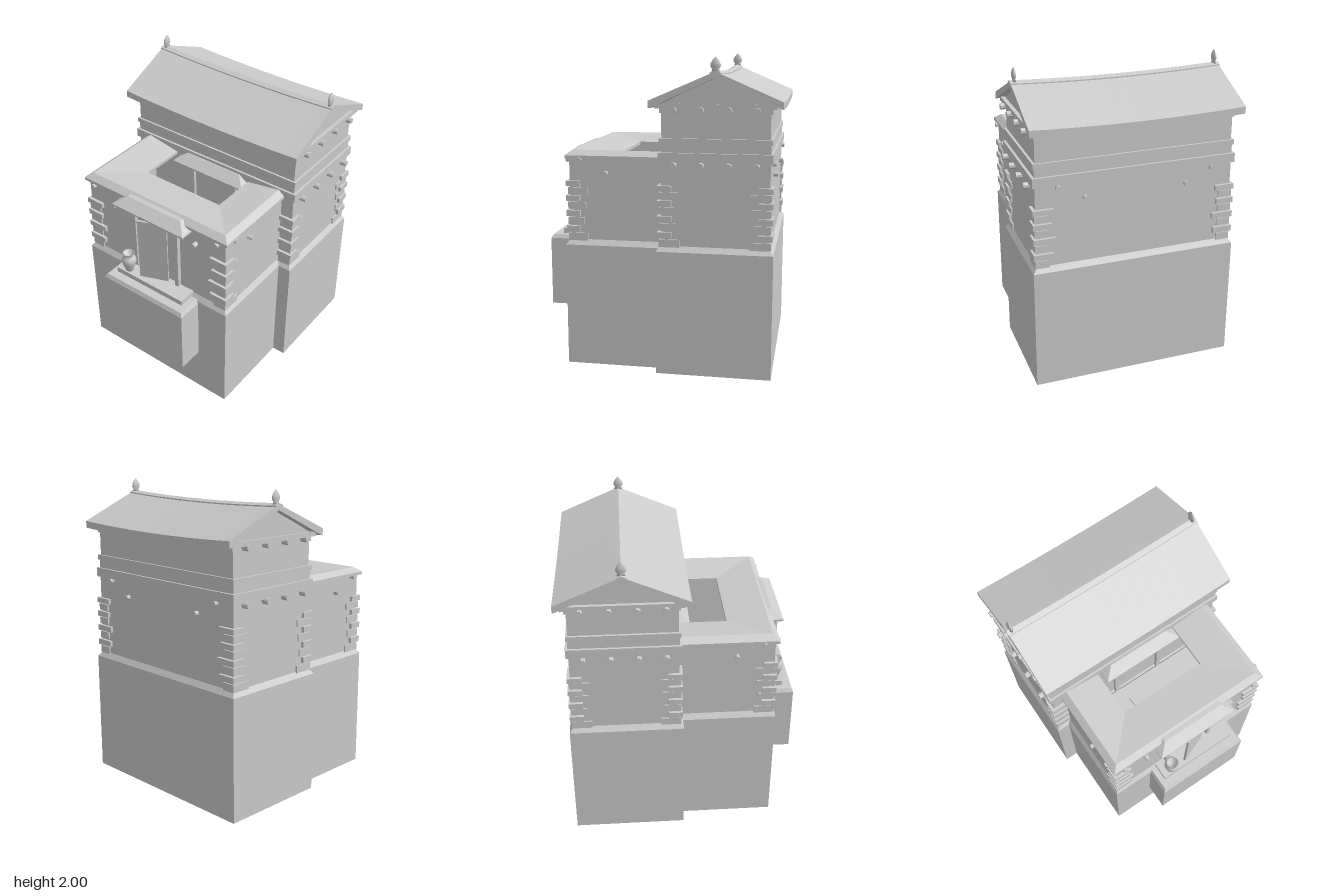
import * as THREE from 'three';

const mat = new THREE.MeshStandardMaterial({ color: 0xcccccc, flatShading: true, side: THREE.DoubleSide });
const smooth = new THREE.MeshStandardMaterial({ color: 0xcccccc, side: THREE.DoubleSide });

function add(parent, name, geo, material = mat) {
  const mesh = new THREE.Mesh(geo, material);
  mesh.name = name;
  parent.add(mesh);
  return mesh;
}

// Box given by its limits; the top can be drawn in, the underside left open
function block(parent, name, [x0, x1], [y0, y1], [z0, z1], inset = 0, open = false) {
  const geo = new THREE.BoxGeometry(x1 - x0, y1 - y0, z1 - z0);
  const p = geo.attributes.position;
  for (let i = 0; i < p.count; i++) {
    if (p.getY(i) <= 0) continue;
    p.setX(i, p.getX(i) - Math.sign(p.getX(i)) * inset);
    p.setZ(i, p.getZ(i) - Math.sign(p.getZ(i)) * inset);
  }
  if (open) geo.setIndex(Array.from(geo.index.array).filter((_, i) => i < 18 || i >= 24));
  geo.translate((x0 + x1) / 2, (y0 + y1) / 2, (z0 + z1) / 2);
  geo.computeVertexNormals();
  return add(parent, name, geo);
}

// Profile (z from the ridge, y) drawn out along x, sagging in the middle
const RIDGE_Z = -0.365;
function sagging(parent, name, profile, half, sag) {
  const shape = new THREE.Shape(profile.map(([u, v]) => new THREE.Vector2(u, v)));
  const geo = new THREE.ExtrudeGeometry(shape, { depth: half * 2, steps: 14, bevelEnabled: false });
  geo.rotateY(Math.PI / 2).translate(-half, 0, RIDGE_Z);
  const p = geo.attributes.position;
  for (let i = 0; i < p.count; i++) {
    const t = p.getX(i) / half;
    p.setY(i, p.getY(i) - sag * (1 - t * t));
  }
  geo.computeVertexNormals();
  return add(parent, name, geo);
}

// Alternating corner stones; sx, sz point outward from the corner
function quoins(parent, x, z, sx, sz) {
  const g = new THREE.Group();
  g.name = 'cornerStones';
  let y = 0.825;
  for (let i = 0; i < 8; i++) {
    const h = 0.053 - i * 0.001;
    const long = i % 2 === 1;
    const out = long ? 0.02 : 0.01;
    const lx = long ? 0.14 - (i % 3) * 0.012 : 0.09;
    const lz = long ? 0.09 : 0.13 - (i % 3) * 0.012;
    const stone = add(g, 'cornerStone', new THREE.BoxGeometry(lx, h * (long ? 0.75 : 0.92), lz));
    stone.position.set(x + sx * (out - lx / 2), y + h / 2, z + sz * (out - lz / 2));
    y += h;
  }
  parent.add(g);
}

// Round beam end; axis is 'x' or 'z'
function beamEnd(parent, name, axis, x, y, z, r, length) {
  const geo = new THREE.CylinderGeometry(r, r, length, 8);
  geo.rotateY(Math.PI / 8);
  if (axis === 'x') geo.rotateZ(Math.PI / 2);
  else geo.rotateX(Math.PI / 2);
  add(parent, name, geo).position.set(x, y, z);
}

function jar(parent, x, y, z, s = 1) {
  const pts = [[0, 0], [0.026, 0], [0.03, 0.015], [0.046, 0.06], [0.05, 0.085], [0.042, 0.105],
    [0.03, 0.118], [0.032, 0.13], [0.042, 0.142], [0.034, 0.142], [0.024, 0.12], [0, 0.11]];
  const geo = new THREE.LatheGeometry(pts.map(([r, h]) => new THREE.Vector2(r, h)), 14);
  const m = add(parent, 'jar', geo, smooth);
  m.position.set(x, y, z);
  m.scale.setScalar(s);
}

// Doorway on a wall whose face lies at z: posts, lintel, hipped canopy
function doorway(parent, z) {
  const g = new THREE.Group();
  g.name = 'doorway';
  for (const x of [-0.16, 0.185]) block(g, 'doorPost', [x - 0.015, x + 0.015], [0.37, 1.345], [z - 0.01, z + 0.025]);
  block(g, 'lintel', [-0.175, 0.2], [1.31, 1.345], [z - 0.01, z + 0.02]);
  block(g, 'canopyEdge', [-0.27, 0.3], [1.338, 1.35], [z - 0.08, z + 0.095]);
  block(g, 'canopyRoof', [-0.27, 0.3], [1.35, 1.4], [z - 0.08, z + 0.095], 0.07);
  parent.add(g);
}

// Inward sloping roof round three sides of the courtyard
function courtyardRoof(parent) {
  const profile = [[0.578, 0.602, 1.36], [0.578, 0.602, 1.38], [0.535, 0.56, 1.412],
    [0.295, 0.3, 1.37], [0.295, 0.3, 1.35], [0.53, 0.555, 1.37]];
  const n = profile.length, pos = [], idx = [];
  for (const [s, front] of [[-1, 0], [-1, 1], [1, 1], [1, 0]])
    for (const [a, zf, y] of profile) pos.push(s * a, y, front ? zf : -0.02);
  for (let i = 0; i < 3; i++)
    for (let j = 0; j < n; j++) {
      const k = (j + 1) % n, a = i * n + j, b = i * n + k, c = a + n, d = b + n;
      idx.push(a, c, b, b, c, d);
    }
  const geo = new THREE.BufferGeometry();
  geo.setAttribute('position', new THREE.Float32BufferAttribute(pos, 3));
  geo.setIndex(idx);
  const flat = geo.toNonIndexed();
  flat.computeVertexNormals();
  add(parent, 'courtyardRoof', flat);
}

export function createModel() {
  const root = new THREE.Group();
  root.name = 'house';
  const house = new THREE.Group();
  house.name = 'building';
  house.position.x = -0.004;
  root.add(house);

  // Foundations with sloped shoulders
  block(house, 'towerBase', [-0.667, 0.667], [0, 0.8], [-0.73, 0], 0, true);
  block(house, 'towerShoulder', [-0.667, 0.667], [0.8, 0.835], [-0.73, 0], 0.028, true);
  block(house, 'courtyardBase', [-0.578, 0.578], [0, 0.8], [0, 0.605], 0, true);
  block(house, 'courtyardShoulder', [-0.578, 0.578], [0.8, 0.835], [-0.03, 0.605], 0.025, true);

  // Tower walls and bands
  block(house, 'towerWall', [-0.64, 0.64], [0.83, 1.36], [-0.703, -0.027]);
  block(house, 'lowerBand', [-0.657, 0.657], [1.36, 1.42], [-0.718, -0.012]);
  block(house, 'towerNeck', [-0.64, 0.64], [1.42, 1.475], [-0.703, -0.027]);
  block(house, 'upperBand', [-0.649, 0.649], [1.475, 1.508], [-0.711, -0.019]);
  block(house, 'upperWall', [-0.633, 0.633], [1.508, 1.67], [-0.698, -0.032]);
  sagging(house, 'wallPlate', [[-0.345, 1.66], [0.345, 1.66], [0.345, 1.7], [-0.345, 1.7]], 0.64, 0.02);

  // Gable roof
  sagging(house, 'eavesSlab', [[-0.37, 1.69], [0.37, 1.69], [0.37, 1.72], [-0.37, 1.72]], 0.662, 0.025);
  sagging(house, 'gableWall', [[-0.34, 1.715], [0.34, 1.715], [0, 1.88]], 0.635, 0.02);
  sagging(house, 'roof', [[-0.408, 1.692], [-0.385, 1.7], [0, 1.878], [0.385, 1.7], [0.408, 1.692],
    [0.408, 1.737], [0, 1.913], [-0.408, 1.737]], 0.68, 0.018);
  sagging(house, 'ridgeCap', [[-0.032, 1.895], [0.032, 1.895], [0.032, 1.907], [0, 1.92], [-0.032, 1.907]], 0.684, 0.018);
  const bud = [[0, 0], [0.026, 0], [0.02, 0.012], [0.031, 0.03], [0.03, 0.048], [0.018, 0.07], [0, 0.088]];
  for (const s of [-1, 1]) {
    const f = add(house, 'roofFinial',
      new THREE.LatheGeometry(bud.map(([r, h]) => new THREE.Vector2(r, h)), 12), smooth);
    f.position.set(s * 0.655, 1.912, RIDGE_Z);
    f.scale.x = 0.45;
  }

  // Beam ends on the tower sides
  for (const s of [-1, 1])
    for (const y of [1.345, 1.683])
      for (let i = 0; i < 4; i++)
        beamEnd(house, 'towerBeamEnd', 'x', s * 0.655, y, -0.108 - i * 0.17, 0.02, 0.066);

  // Courtyard walls, roof and floor contents
  for (const s of [-1, 1]) {
    const xs = [s * 0.553, s * 0.51].sort((a, b) => a - b);
    block(house, 'courtyardSideWall', xs, [0.83, 1.375], [-0.03, 0.58]);
  }
  block(house, 'courtyardFrontWall', [-0.553, 0.553], [0.83, 1.375], [0.54, 0.58]);
  courtyardRoof(house);
  const mat_ = add(house, 'floorSlab', new THREE.BoxGeometry(0.225, 0.02, 0.25));
  mat_.position.set(-0.008, 0.845, 0.21);
  mat_.rotation.y = 0.05;
  jar(house, 0.255, 0.835, 0.285);

  // Corner stones
  for (const s of [-1, 1]) {
    quoins(house, s * 0.64, -0.027, s, 1);
    quoins(house, s * 0.64, -0.703, s, -1);
    quoins(house, s * 0.553, 0.58, s, 1);
  }

  // Small pegs in the walls
  for (const s of [-1, 1])
    for (const [u, y] of [[0.33, 1.258], [0.5, 1.345]]) {
      beamEnd(house, 'frontPeg', 'z', s * u, y, 0.59, 0.016, 0.05);
      beamEnd(house, 'backPeg', 'z', s * u, y, -0.71, 0.016, 0.04);
      beamEnd(house, 'sidePeg', 'x', s * 0.565, y + 0.01, u + 0.01, 0.016, 0.05);
    }

  // Doorways, porch and open door leaf
  doorway(house, 0.583);
  doorway(house, -0.03);
  block(house, 'porch', [-0.298, 0.358], [0.33, 0.785], [0.58, 0.777]);
  block(house, 'porchTop', [-0.298, 0.358], [0.785, 0.81], [0.55, 0.777], 0.015);
  block(house, 'doorStep', [-0.245, 0.302], [0.805, 0.845], [0.56, 0.705]);
  const leaf = add(house, 'doorLeaf', new THREE.BoxGeometry(0.195, 0.46, 0.014));
  leaf.position.set(0.025, 1.08, 0.64);
  leaf.rotation.y = 0.37;
  jar(house, -0.168, 0.845, 0.668);

  return root;
}
